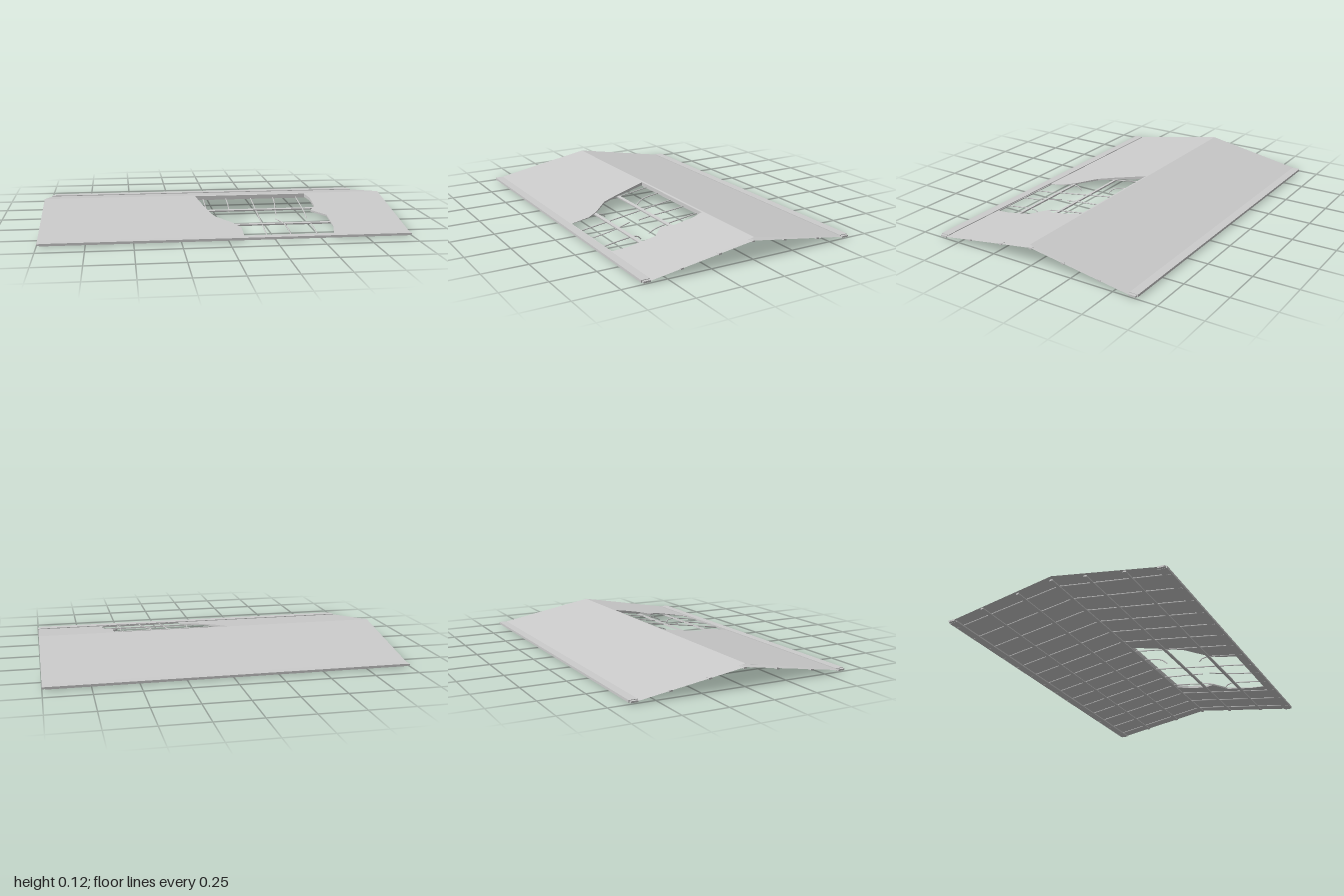
import * as THREE from 'three';

const mat = new THREE.MeshStandardMaterial({ color: 0xcccccc, side: THREE.DoubleSide });
const outerY = z => 0.12 - 0.181 * Math.abs(z);   // roof skin
const innerY = z => 0.101 - 0.151 * Math.abs(z);  // lining under the skin
const rodY = z => innerY(z) - 0.002;
const EAVE = 0.625;

// Outline of the broken opening, as x and z
const hole = [
  [-0.12, 0.012], [0.54, 0.012], [0.56, 0.08], [0.56, 0.2], [0.525, 0.26],
  [0.6, 0.335], [0.6, 0.49], [0.58, 0.58], [0.09, 0.58], [0.09, 0.475],
  [0.055, 0.41], [-0.04, 0.31], [-0.075, 0.2],
];

function add(parent, geometry, name) {
  const mesh = new THREE.Mesh(geometry, mat);
  mesh.name = name;
  parent.add(mesh);
  return mesh;
}

// One slope of the roof: a flat outline lifted to the height rule
function slope(side, height, withHole) {
  const near = 0, far = -side * EAVE;
  const shape = new THREE.Shape(
    [[-1, near], [1, near], [1, far], [-1, far]].map(p => new THREE.Vector2(...p)));
  if (withHole) shape.holes.push(new THREE.Path(hole.map(([x, z]) => new THREE.Vector2(x, -z))));
  const g = new THREE.ShapeGeometry(shape);
  const pos = g.attributes.position;
  for (let i = 0; i < pos.count; i++) {
    const z = -pos.getY(i);
    pos.setXYZ(i, pos.getX(i), height(z), z);
  }
  g.computeVertexNormals();
  return g;
}

// Broken edge joining the skin and the lining around the opening
function holeEdge() {
  const v = [];
  hole.forEach(([x0, z0], i) => {
    const [x1, z1] = hole[(i + 1) % hole.length];
    const a = [x0, outerY(z0), z0], b = [x1, outerY(z1), z1];
    const c = [x1, innerY(z1), z1], d = [x0, innerY(z0), z0];
    v.push(...a, ...b, ...c, ...a, ...c, ...d);
  });
  const g = new THREE.BufferGeometry();
  g.setAttribute('position', new THREE.Float32BufferAttribute(v, 3));
  g.computeVertexNormals();
  return g;
}

// Thin rod through points of x, z and drop below the slope
function rod(points) {
  const path = new THREE.CatmullRomCurve3(
    points.map(([x, z, drop = 0]) => new THREE.Vector3(x, rodY(z) - drop, z)));
  return new THREE.TubeGeometry(path, points.length > 2 ? 12 : 1, 0.0035, 6, false);
}

export function createModel() {
  const roof = new THREE.Group();
  roof.name = 'damagedRoof';

  for (const side of [1, -1]) {
    const label = side > 0 ? 'front' : 'back';
    add(roof, slope(side, outerY, side > 0), label + 'RoofSkin');
    add(roof, slope(side, innerY, side > 0), label + 'RoofLining');

    // Eave trim
    const trim = add(roof, new THREE.BoxGeometry(1.97, 0.013, 0.048), label + 'EaveTrim');
    trim.position.set(0, 0.0115, side * 0.611);
    const strip = add(roof, new THREE.BoxGeometry(2, 0.009, 0.04), label + 'EaveStrip');
    strip.position.set(0, 0.0105, side * 0.61);

    // Long battens
    for (const z of [0.2, 0.418]) {
      const batten = add(roof, new THREE.BoxGeometry(2, 0.008, 0.018), label + 'Batten');
      batten.position.set(0, rodY(z), side * z);
      batten.rotation.x = side * Math.atan(0.151);
    }
  }
  add(roof, holeEdge(), 'brokenEdge');
  const ridge = add(roof, new THREE.BoxGeometry(2, 0.008, 0.018), 'ridgeBatten');
  ridge.position.y = rodY(0) - 0.002;

  // Rafters; some are snapped inside the opening
  const broken = {
    7: [
      [[0.065, 0], [0.065, 0.08], [0.065, 0.12, 0.006], [0.065, 0.155, 0.03]],
      [[0.065, 0.36, 0.032], [0.065, 0.375, 0.014], [0.065, 0.4, 0.004], [0.065, 0.45], [0.065, EAVE]],
    ],
    9: [
      [[0.35, 0], [0.345, 0.08], [0.328, 0.2], [0.32, 0.28, 0.003]],
      [[0.305, 0.33, 0.005], [0.335, 0.41], [0.345, 0.48], [0.345, EAVE]],
    ],
    10: [
      [[0.489, 0], [0.489, 0.22], [0.489, 0.275, 0.004], [0.489, 0.312, 0.016]],
      [[0.489, 0.36, 0.032], [0.489, 0.375, 0.014], [0.489, 0.4, 0.004], [0.489, 0.45], [0.489, EAVE]],
    ],
  };
  for (let i = 0; i < 14; i++) {
    const x = -0.926 + i * 0.1425;
    add(roof, rod([[x, 0], [x, -EAVE]]), 'backRafter');
    for (const piece of broken[i] ?? [[[x, 0], [x, EAVE]]])
      add(roof, rod(piece), broken[i] ? 'snappedRafter' : 'frontRafter');
  }
  return roof;
}
